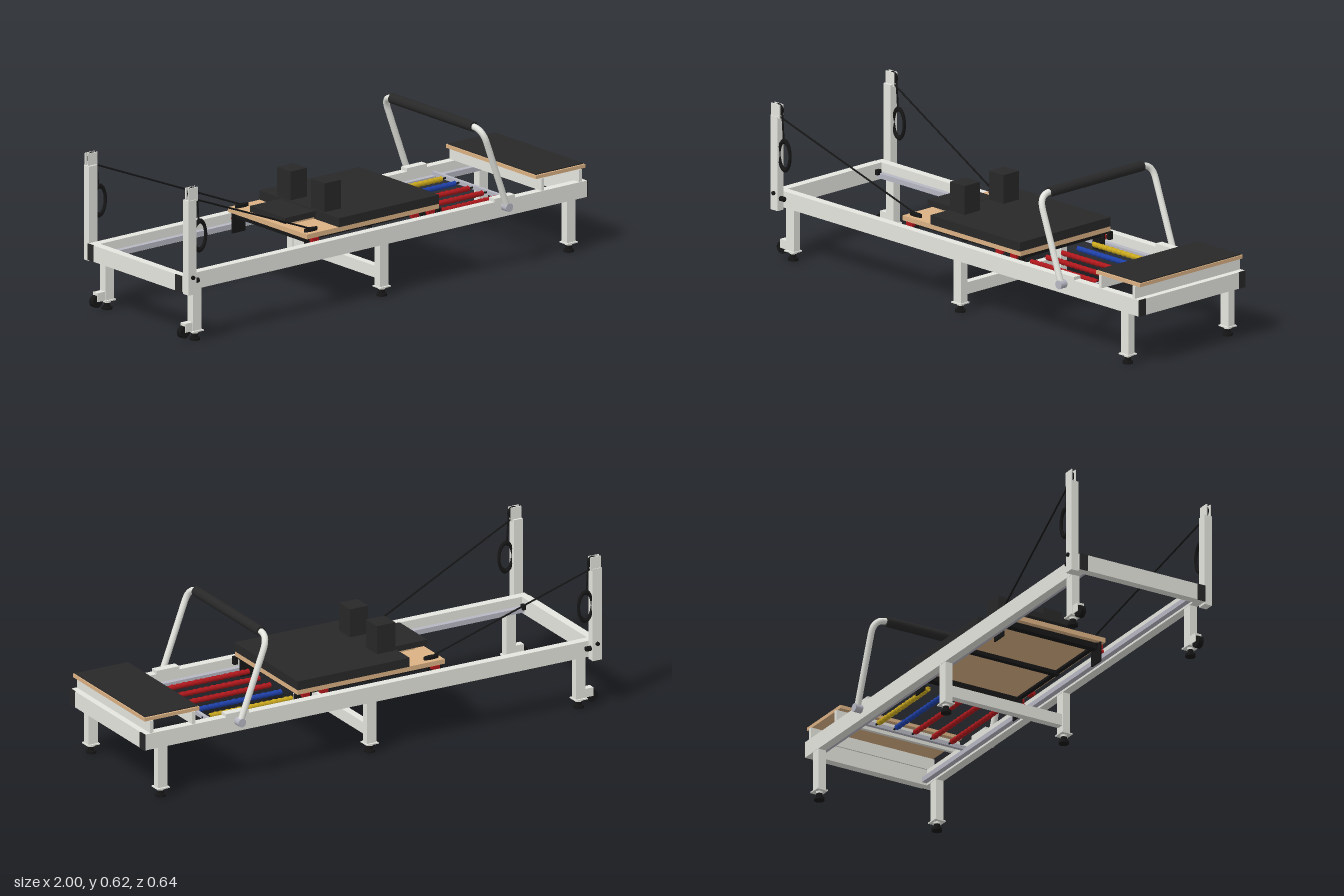
import * as THREE from 'three';

const mat = (name, color) => {
  const m = new THREE.MeshStandardMaterial({ color });
  m.name = name;
  return m;
};

export function createModel() {
  const silver = mat('silver paint', 0xe5e5df), black = mat('black vinyl', 0x282828);
  const rubber = mat('black rubber', 0x161616), wood = mat('birch wood', 0xdbb183);
  const steel = mat('bare steel', 0xb6b7c2), red = mat('red', 0xb0181c);
  const blue = mat('blue', 0x1e40a8), yellow = mat('yellow', 0xcaa81e);
  const model = new THREE.Group();
  model.name = 'exerciseReformer';

  const add = (name, geo, m, x = 0, y = 0, z = 0) => {
    const mesh = new THREE.Mesh(geo, m);
    mesh.name = name;
    mesh.position.set(x, y, z);
    model.add(mesh);
    return mesh;
  };
  // Box given by its lower and upper limits on each axis
  const box = (name, m, x0, x1, y0, y1, z0, z1) => add(name,
    new THREE.BoxGeometry(x1 - x0, y1 - y0, z1 - z0), m, (x0 + x1) / 2, (y0 + y1) / 2, (z0 + z1) / 2);
  // The same box on both sides of the centre line
  const pair = (name, m, x0, x1, y0, y1, z0, z1) => {
    box(name + 'Left', m, x0, x1, y0, y1, z0, z1);
    box(name + 'Right', m, x0, x1, y0, y1, -z1, -z0);
  };
  const cyl = (name, m, r, len, axis, x, y, z, seg = 20) => {
    const g = new THREE.CylinderGeometry(r, r, len, seg);
    if (axis === 'x') g.rotateZ(Math.PI / 2);
    if (axis === 'z') g.rotateX(Math.PI / 2);
    return add(name, g, m, x, y, z);
  };
  const V = (x, y, z) => new THREE.Vector3(x, y, z);
  const rod = (name, m, a, b, r) => add(name,
    new THREE.TubeGeometry(new THREE.LineCurve3(a, b), 1, r, 8), m);

  // Frame: side rails, end beams, dark corner caps and inner tracks
  pair('sideRail', silver, -0.995, 0.995, 0.205, 0.27, 0.245, 0.279);
  box('headBeam', silver, -0.998, -0.964, 0.205, 0.27, -0.245, 0.245);
  box('footBeam', silver, 0.964, 0.998, 0.205, 0.27, -0.245, 0.245);
  pair('headCap', black, -1, -0.995, 0.205, 0.27, 0.245, 0.279);
  pair('footCap', black, 0.995, 1, 0.205, 0.27, 0.245, 0.279);
  pair('track', steel, -0.964, 0.964, 0.214, 0.234, 0.224, 0.245);
  pair('trackStop', rubber, -0.964, -0.95, 0.228, 0.248, 0.212, 0.232);

  // Legs with adjustable feet
  for (const x of [-0.918, 0, 0.918]) {
    pair('leg', silver, x - 0.021, x + 0.021, 0.04, 0.205, 0.246, 0.278);
    pair('footPlate', silver, x - 0.026, x + 0.026, 0.035, 0.04, 0.239, 0.286);
    for (const z of [-0.262, 0.262]) {
      cyl('footNut', silver, 0.015, 0.008, 'y', x, 0.031, z, 6);
      cyl('footStem', rubber, 0.012, 0.02, 'y', x, 0.018, z);
      cyl('footPad', rubber, 0.02, 0.01, 'y', x, 0.005, z);
    }
  }
  box('middleCrossbar', silver, -0.015, 0.015, 0.068, 0.115, -0.246, 0.246);

  for (const s of [-1, 1]) {
    // Transport wheels
    box('wheelBracket', silver, -0.975, -0.938, 0.04, 0.075, s * 0.262 - 0.014, s * 0.262 + 0.014);
    cyl('transportWheel', rubber, 0.024, 0.022, 'z', -0.973, 0.04, s * 0.262);

    // Rope post with pulley
    box('ropePost', silver, -0.99, -0.95, 0.198, 0.572, s * 0.297 - 0.016, s * 0.297 + 0.016);
    for (const d of [-0.008, 0.008])
      box('pulleyCheek', silver, -0.988, -0.942, 0.565, 0.62, s * 0.3 + d - 0.002, s * 0.3 + d + 0.002);
    cyl('pulley', rubber, 0.024, 0.01, 'z', -0.958, 0.597, s * 0.3);
    cyl('postKnob', rubber, 0.01, 0.022, 'x', -0.94, 0.246, s * 0.297, 12);
    cyl('postBolt', rubber, 0.008, 0.01, 'z', -0.97, 0.266, s * 0.315, 12);

    // Rope, cleat and hanging hand loop
    rod('rope', rubber, V(-0.948, 0.57, s * 0.3), V(-0.3, 0.308, s * 0.206), 0.0035);
    const cleat = cyl('cleat', rubber, 0.01, 0.012, 'y', -0.302, 0.306, s * 0.206);
    cleat.scale.x = 3.2;
    rod('loopCord', rubber, V(-0.938, 0.59, s * 0.3), V(-0.93, 0.48, s * 0.3), 0.0035);
    const loop = add('handLoop', new THREE.TorusGeometry(0.03, 0.0055, 8, 28), rubber, -0.925, 0.422, s * 0.3);
    loop.scale.set(1, 1.9, 1.3);

    // Foot bar pivot
    box('pivotBracket', silver, 0.54, 0.64, 0.27, 0.283, s * 0.262 - 0.017, s * 0.262 + 0.017);
    cyl('pivotHub', steel, 0.017, 0.032, 'z', 0.588, 0.247, s * 0.295);
  }

  // Foot bar: one bent tube with a padded grip
  const top = V(0.467, 0.575, 0), low = V(0.588, 0.247, 0);
  const at = (t, z) => low.clone().lerp(top, t).setZ(z);
  const path = new THREE.CurvePath();
  path.add(new THREE.LineCurve3(at(0, -0.296), at(0.83, -0.296)));
  path.add(new THREE.QuadraticBezierCurve3(at(0.83, -0.296), at(1, -0.296), at(1, -0.24)));
  path.add(new THREE.LineCurve3(at(1, -0.24), at(1, 0.24)));
  path.add(new THREE.QuadraticBezierCurve3(at(1, 0.24), at(1, 0.296), at(0.83, 0.296)));
  path.add(new THREE.LineCurve3(at(0.83, 0.296), at(0, 0.296)));
  add('footBar', new THREE.TubeGeometry(path, 120, 0.0125, 14), silver);
  cyl('footBarGrip', black, 0.02, 0.488, 'z', top.x, top.y, 0, 28);

  // Standing platform
  for (const x of [0.78, 0.965])
    box('platformSupport', silver, x - 0.007, x + 0.007, 0.27, 0.319, -0.275, 0.275);
  box('platformBoard', wood, 0.752, 0.993, 0.319, 0.333, -0.27, 0.27);
  box('platformMat', black, 0.757, 0.988, 0.333, 0.337, -0.262, 0.262);

  // Carriage: board, pads and shoulder rests
  box('carriageBoard', wood, -0.345, 0.302, 0.281, 0.3, -0.236, 0.236);
  box('carriagePad', black, -0.19, 0.302, 0.3, 0.336, -0.238, 0.238);
  box('headrestBase', wood, -0.3, -0.192, 0.3, 0.312, -0.09, 0.09);
  box('headrest', black, -0.345, -0.195, 0.312, 0.335, -0.105, 0.105);
  pair('shoulderRest', black, -0.182, -0.102, 0.336, 0.45, 0.061, 0.143);

  // Carriage underframe with rollers
  for (const x of [-0.31, 0.26]) {
    box('underframeBar', rubber, x - 0.014, x + 0.014, 0.257, 0.281, -0.222, 0.222);
    pair('rollerBracket', rubber, x - 0.032, x + 0.032, 0.2, 0.281, 0.213, 0.219);
    for (const s of [-1, 1]) cyl('roller', red, 0.016, 0.018, 'z', x, 0.251, s * 0.232, 16);
  }
  box('middleUnderframeBar', rubber, -0.034, -0.014, 0.265, 0.281, -0.222, 0.222);
  for (const x of [-0.305, 0.185, 0.265])
    pair('bumper', red, x - 0.016, x + 0.016, 0.268, 0.281, 0.222, 0.24);
  pair('underframeRail', rubber, -0.33, 0.295, 0.271, 0.281, 0.205, 0.222);
  pair('carriageStop', rubber, 0.295, 0.312, 0.25, 0.281, 0.222, 0.24);

  // Springs: a raised coil on a solid core, hooked to the spring bar
  box('springBar', steel, 0.664, 0.678, 0.232, 0.248, -0.245, 0.245);
  const turns = 14, x0 = 0.285, length = 0.36;
  [[-0.165, yellow], [-0.085, blue], [-0.003, red], [0.079, red], [0.16, red]].forEach(([z, m]) => {
    const points = [];
    for (let i = 0; i <= turns * 10; i++) {
      const a = i / 10 * Math.PI * 2;
      points.push(V(x0 + length * i / (turns * 10), 0.24 + 0.006 * Math.cos(a), z + 0.006 * Math.sin(a)));
    }
    add('springCoil', new THREE.TubeGeometry(new THREE.CatmullRomCurve3(points), turns * 10, 0.006, 6), m);
    cyl('springCore', m, 0.0098, length, 'x', x0 + length / 2, 0.24, z, 14);
    cyl('springHook', rubber, 0.004, 0.04, 'x', 0.66, 0.24, z, 8);
  });
  return model;
}
